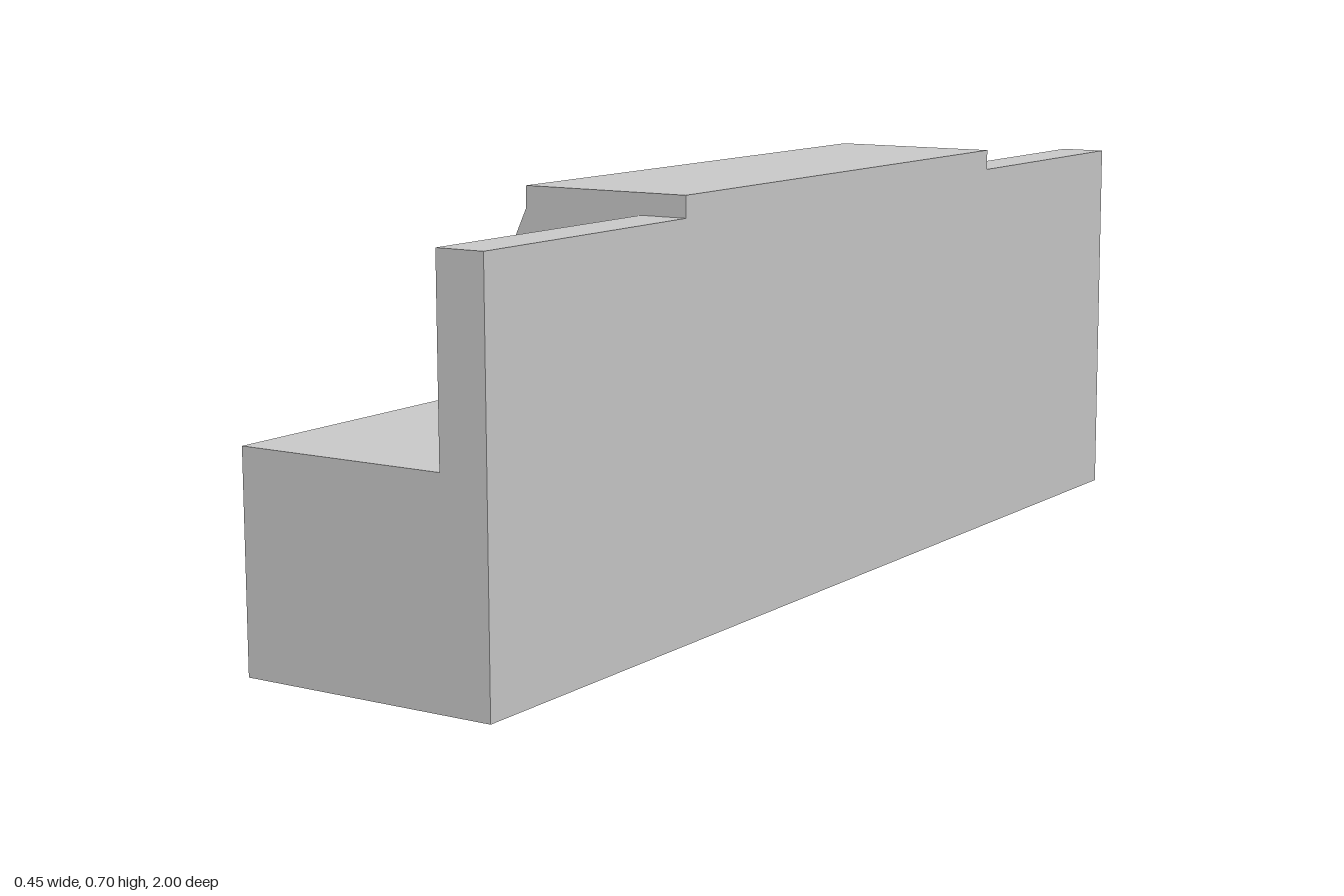
import * as THREE from 'three';

const FRONT = -0.225, BACK = 0.225, WALL = 0.142; // x of open side, rear face, inner wall face
const SEAT = 0.35, RIM = 0.665, TOP = 0.7;        // main heights

export function createModel() {
  const group = new THREE.Group();
  const material = new THREE.MeshStandardMaterial({ color: 0xcccccc, flatShading: true });

  const add = (name, geometry) => {
    const mesh = new THREE.Mesh(geometry, material);
    mesh.name = name;
    group.add(mesh);
    return mesh;
  };

  // Box given by its limits on each axis
  const box = (name, x0, x1, y0, y1, z0, z1) => {
    const mesh = add(name, new THREE.BoxGeometry(x1 - x0, y1 - y0, z1 - z0));
    mesh.position.set((x0 + x1) / 2, (y0 + y1) / 2, (z0 + z1) / 2);
  };

  // Full-length rear wall
  box('backPanel', WALL, BACK, 0, RIM, -1, 1);

  // Counter, shelf below it and end panels
  const inner = 0.968;
  box('counterTop', FRONT, WALL, 0.304, SEAT, -inner, inner);
  box('lowerShelf', FRONT, WALL, 0.127, 0.173, -inner, inner);
  for (const side of [-1, 1]) {
    const a = side * inner, b = side;
    box('endPanel', FRONT, WALL, 0, SEAT, Math.min(a, b), Math.max(a, b));
  }

  // Raised cubbies: slab on three dividers with a sloping front edge
  box('cubbyTop', -0.075, BACK, RIM, TOP, -0.5, 0.5);
  const profile = new THREE.Shape([
    new THREE.Vector2(FRONT, SEAT),
    new THREE.Vector2(WALL, SEAT),
    new THREE.Vector2(WALL, RIM),
    new THREE.Vector2(-0.075, RIM),
  ]);
  for (const [z0, z1] of [[-0.5, -0.461], [-0.024, 0.024], [0.461, 0.5]]) {
    const geometry = new THREE.ExtrudeGeometry(profile, { depth: z1 - z0, bevelEnabled: false });
    add('cubbyDivider', geometry).position.z = z0;
  }

  return group;
}
